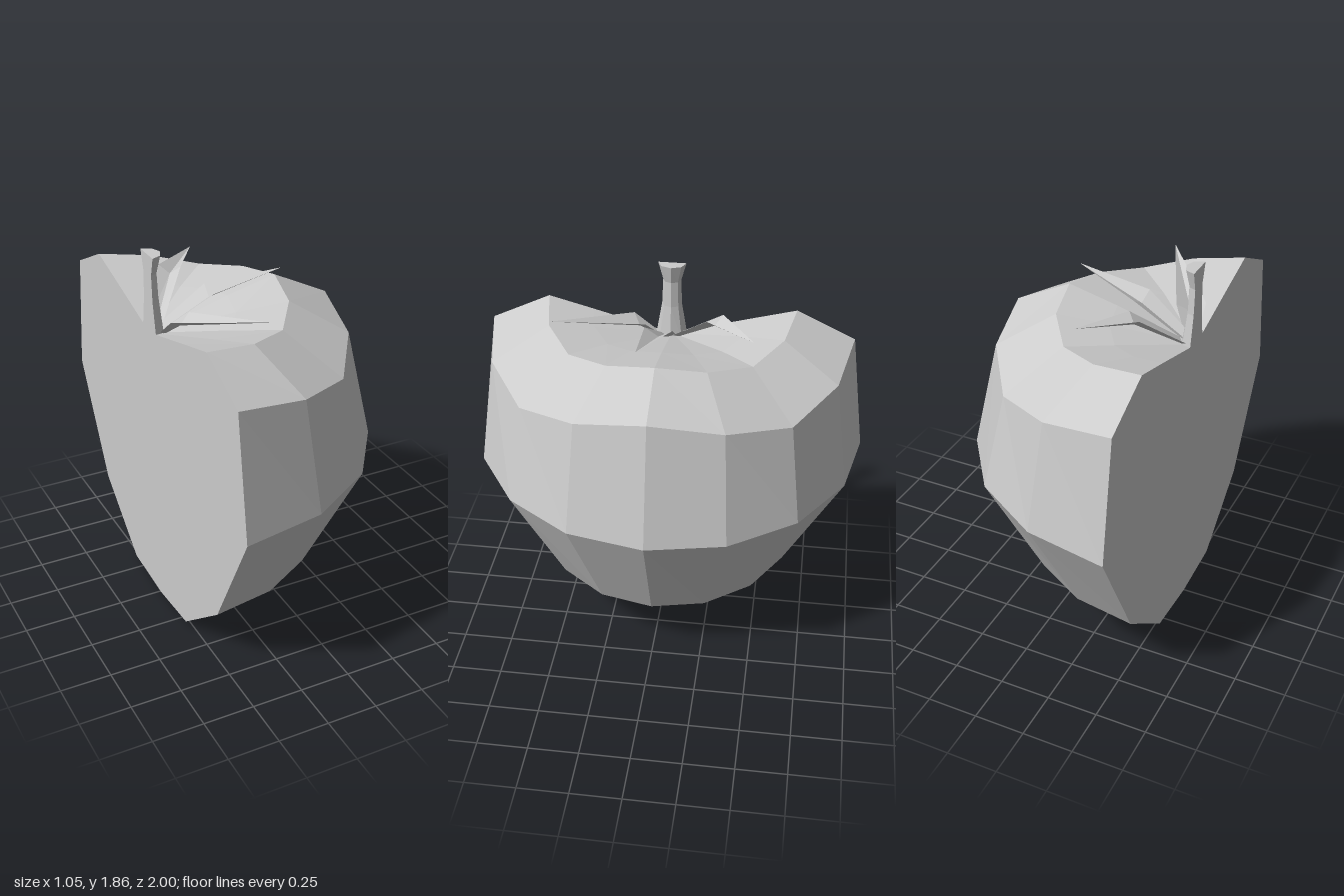
import * as THREE from 'three';

const CUT = -0.53; // x of the flat cut through the fruit's axis
const STEPS = 8; // facets around the half turn

const material = () =>
  new THREE.MeshStandardMaterial({ color: 0xcccccc, flatShading: true, side: THREE.DoubleSide });

function facetedMesh(name, positions, index) {
  const geometry = new THREE.BufferGeometry();
  geometry.setAttribute('position', new THREE.Float32BufferAttribute(positions, 3));
  geometry.setIndex(index);
  const flat = geometry.toNonIndexed();
  flat.computeVertexNormals();
  const mesh = new THREE.Mesh(flat, material());
  mesh.name = name;
  return mesh;
}

// Half-round skin through rings of { y, rx, rz, dip }; dip lowers the ring between its four lobes.
function halfLoft(name, rings, steps) {
  const positions = [];
  const index = [];
  rings.forEach(({ y, rx, rz, dip = 0 }, i) => {
    for (let j = 0; j <= steps; j++) {
      const a = -Math.PI / 2 + (Math.PI * j) / steps;
      const lobe = (1 - Math.cos(4 * a)) / 2;
      positions.push(CUT + rx * Math.cos(a), y - dip * lobe, rz * Math.sin(a));
      if (i < rings.length - 1 && j < steps) {
        const p = i * (steps + 1) + j;
        const q = p + steps + 1;
        index.push(p, q, q + 1, p, q + 1, p + 1);
      }
    }
  });
  return facetedMesh(name, positions, index);
}

// Flat face closing the cut side, facing -x.
function cutFace(name, rings) {
  const right = rings.map(({ y, rz }) => new THREE.Vector2(rz, y));
  const left = rings.map(({ y, rz }) => new THREE.Vector2(-rz, y)).reverse();
  const geometry = new THREE.ShapeGeometry(new THREE.Shape([...right, ...left]));
  geometry.rotateY(-Math.PI / 2).translate(CUT, 0, 0);
  const mesh = new THREE.Mesh(geometry, material());
  mesh.name = name;
  return mesh;
}

// Pointed leaf: narrow base, widest at the middle with a sunken midrib, then a sharp tip.
function leaf(name, { base, mid, tip, width }) {
  const [b, m, t] = [base, mid, tip].map((p) => new THREE.Vector3(...p));
  const side = new THREE.Vector3(-(t.z - b.z), 0, t.x - b.x).normalize();
  const at = (p, s, drop = 0) => p.clone().addScaledVector(side, s).add(new THREE.Vector3(0, -drop, 0));
  const points = [
    at(b, -0.035), at(b, 0, 0.02), at(b, 0.035),
    at(m, -width), at(m, 0, 0.04), at(m, width),
    t,
  ];
  return facetedMesh(name, points.flatMap((p) => p.toArray()), [
    0, 1, 4, 0, 4, 3, 1, 2, 5, 1, 5, 4, 3, 4, 6, 4, 5, 6,
  ]);
}

export function createModel() {
  const model = new THREE.Group();

  // Fruit body: tapered bottom, broad shoulders, lobed rim and a hollow around the stem
  const body = [
    { y: 0, rx: 0, rz: 0 },
    { y: 0.025, rx: 0.32, rz: 0.32 },
    { y: 0.32, rx: 0.79, rz: 0.69 },
    { y: 0.89, rx: 1.055, rz: 1 },
    { y: 1.5, rx: 0.93, rz: 0.92, dip: 0.125 },
    { y: 1.64, rx: 0.65, rz: 0.625, dip: 0.07 },
    { y: 1.58, rx: 0.4, rz: 0.4, dip: 0.04 },
    { y: 1.47, rx: 0, rz: 0 },
  ];
  const fruit = new THREE.Group();
  fruit.name = 'fruit';
  fruit.add(halfLoft('fruitSkin', body, STEPS), cutFace('fruitCutFace', body));
  model.add(fruit);

  // Stem: half column pinched in the middle
  const stalk = [
    { y: 1.46, rx: 0.07, rz: 0.08 },
    { y: 1.64, rx: 0.05, rz: 0.05 },
    { y: 1.77, rx: 0.045, rz: 0.045 },
    { y: 1.86, rx: 0.065, rz: 0.07 },
    { y: 1.86, rx: 0, rz: 0 },
  ];
  const stem = new THREE.Group();
  stem.name = 'stem';
  stem.add(halfLoft('stemSkin', stalk, 4), cutFace('stemCutFace', stalk));
  model.add(stem);

  // Leaves fanning out from the stem
  const leaves = [
    { name: 'frontLeaf', base: [-0.48, 1.5, 0.06], mid: [-0.44, 1.59, 0.15], tip: [-0.19, 1.675, 0.55], width: 0.07 },
    { name: 'sideLeaf', base: [-0.47, 1.5, 0.01], mid: [-0.24, 1.645, 0.03], tip: [0.11, 1.71, 0.09], width: 0.07 },
    { name: 'backLeaf', base: [-0.48, 1.5, -0.04], mid: [-0.32, 1.68, -0.235], tip: [-0.12, 1.67, -0.44], width: 0.055 },
  ];
  for (const spec of leaves) model.add(leaf(spec.name, spec));

  return model;
}
